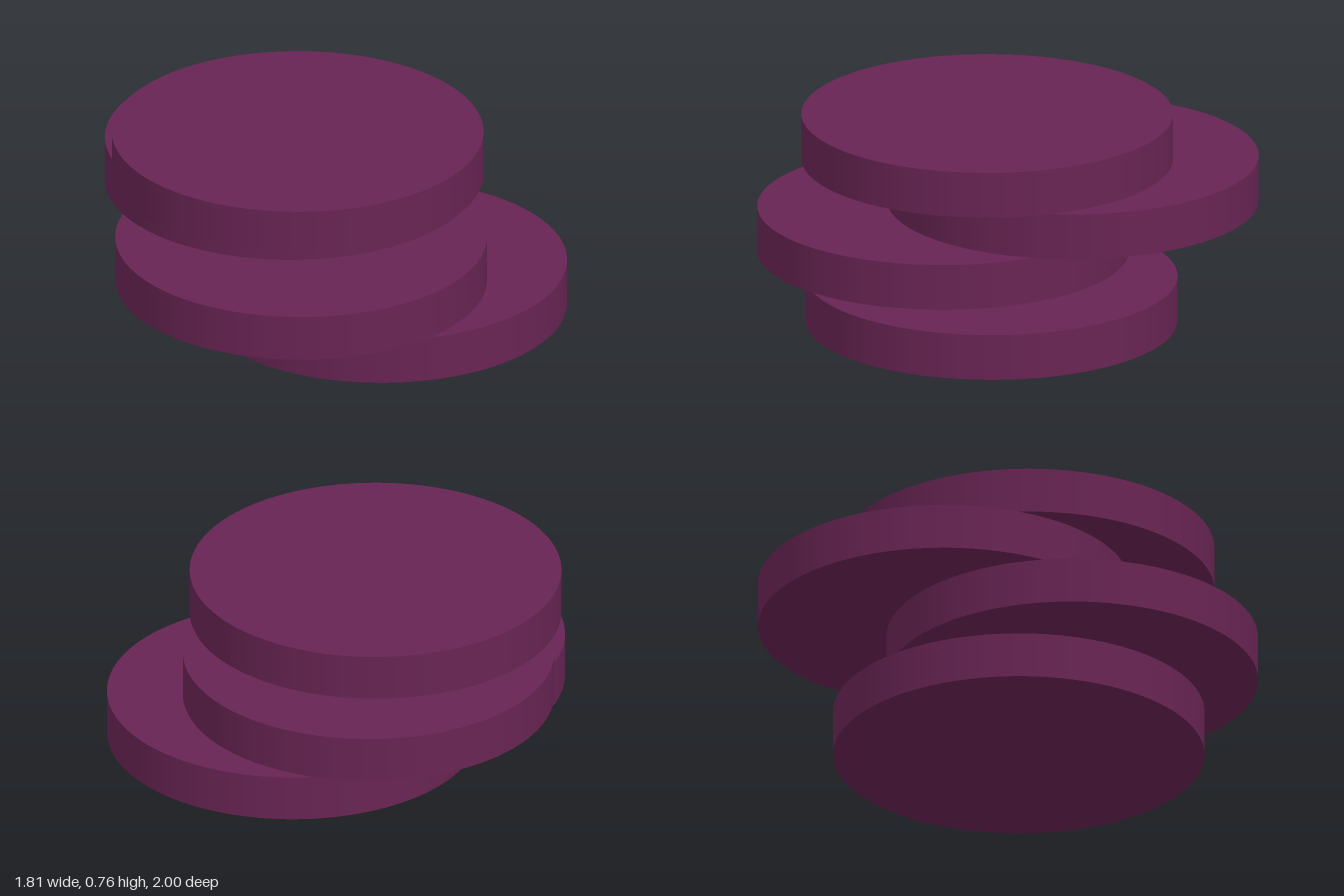
import * as THREE from 'three';

const RADIUS = 0.74;
const THICKNESS = 0.188;

export function createModel() {
  const model = new THREE.Group();
  model.name = 'discStack';

  const plum = new THREE.MeshStandardMaterial({ color: 0x682453 });
  plum.name = 'plum';

  // One flat disc shape shared by the whole stack
  const disc = new THREE.CylinderGeometry(RADIUS, RADIUS, THICKNESS, 128);

  // Name, centre x, underside y, centre z; a hairline gap divides the stack in half
  const discs = [
    ['bottomDisc', 0.165, 0, 0.105],
    ['lowerMiddleDisc', -0.167, 0.189, 0.26],
    ['upperMiddleDisc', -0.167, 0.381, -0.26],
    ['topDisc', -0.167, 0.569, 0.083],
  ];
  for (const [name, x, y, z] of discs) {
    const mesh = new THREE.Mesh(disc, plum);
    mesh.name = name;
    mesh.position.set(x, y + THICKNESS / 2, z);
    model.add(mesh);
  }
  return model;
}
